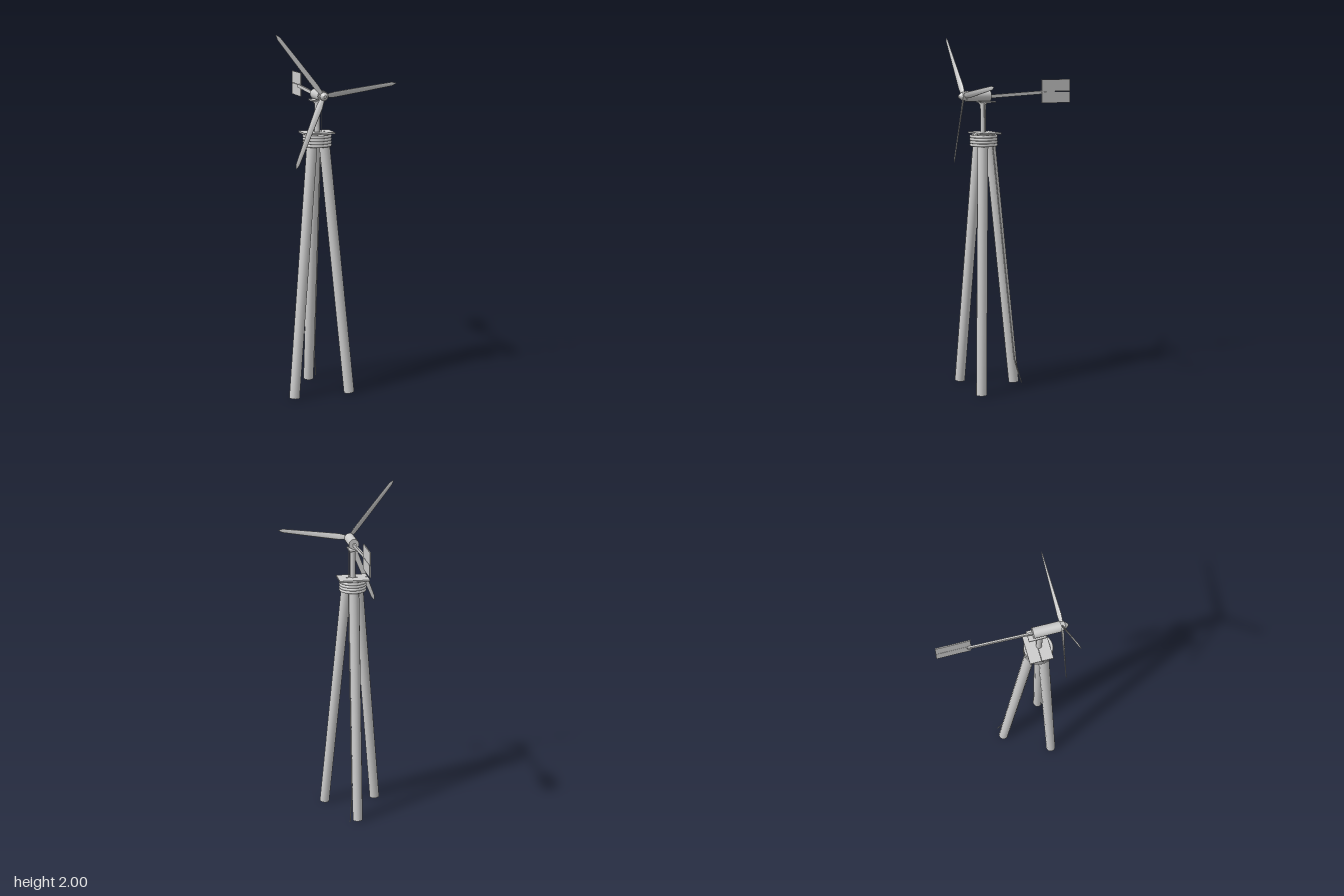
import * as THREE from 'three';

const AX = -0.075;   // tower axis
const AZ = 0.195;
const HUB_Y = 1.676;
const HUB_Z = 0.314;

const grey = new THREE.MeshStandardMaterial({ color: 0xcccccc });
grey.name = 'light grey';

const V = (x, y, z) => new THREE.Vector3(x, y, z);

function add(parent, name, geometry, x = 0, y = 0, z = 0) {
  const mesh = new THREE.Mesh(geometry, grey);
  mesh.name = name;
  mesh.position.set(x, y, z);
  parent.add(mesh);
  return mesh;
}

// Cylinder between two points
function rod(parent, name, a, b, radius, sides = 12) {
  const dir = b.clone().sub(a);
  const mesh = add(parent, name, new THREE.CylinderGeometry(radius, radius, dir.length(), sides));
  mesh.position.copy(a).add(b).multiplyScalar(0.5);
  mesh.quaternion.setFromUnitVectors(V(0, 1, 0), dir.normalize());
  return mesh;
}

// Tapered, twisted blade growing along +y from the hub
function bladeGeometry(length) {
  const geo = new THREE.CylinderGeometry(1, 1, 1, 12, 16);
  const p = geo.attributes.position;
  for (let i = 0; i < p.count; i++) {
    const t = p.getY(i) + 0.5;
    const root = Math.min(1, 0.55 + t * 4);
    const tip = t > 0.94 ? Math.sqrt(Math.max(0.02, 1 - ((t - 0.94) / 0.06) ** 2)) : 1;
    const chord = (0.02 - 0.010 * t) * root * tip;
    const thick = (0.0055 - 0.0035 * t) * tip;
    const pitch = 0.5 * (1 - t) + 0.1;
    const u = p.getX(i) * chord, w = p.getZ(i) * thick;
    p.setXYZ(i,
      u * Math.cos(pitch) + w * Math.sin(pitch),
      0.01 + t * (length - 0.01),
      -u * Math.sin(pitch) + w * Math.cos(pitch));
  }
  geo.computeVertexNormals();
  return geo;
}

export function createModel() {
  const model = new THREE.Group();
  model.name = 'windTurbine';

  // Tripod of leaning poles
  const legs = new THREE.Group();
  legs.name = 'legs';
  model.add(legs);
  for (const deg of [30, 150, 270]) {
    const c = Math.cos(deg * Math.PI / 180), s = Math.sin(deg * Math.PI / 180);
    rod(legs, 'leg',
      V(AX + c * 0.184, 0.003, AZ + s * 0.184),
      V(AX + c * 0.034, 1.465, AZ + s * 0.034), 0.03);
  }

  // Rope lashing around the top of the legs
  const lashing = new THREE.Group();
  lashing.name = 'lashing';
  model.add(lashing);
  for (let i = 0; i < 4; i++) {
    const ring = add(lashing, 'ropeRing', new THREE.TorusGeometry(0.071, 0.0085, 8, 32), AX, 1.404 + i * 0.016, AZ);
    ring.rotation.x = Math.PI / 2;
  }

  // Two boards forming the platform
  for (const z of [0.157, 0.222]) {
    add(model, 'platformBoard', new THREE.BoxGeometry(0.173, 0.009, 0.063), AX, 1.47, z);
  }

  // Mast with flanges and a bearing plate
  rod(model, 'mast', V(AX, 1.465, 0.198), V(AX, 1.64, 0.198), 0.0155, 16);
  rod(model, 'mastCollar', V(AX, 1.628, 0.198), V(AX, 1.64, 0.198), 0.021, 16);
  add(model, 'bearingPlate', new THREE.BoxGeometry(0.06, 0.008, 0.095), AX, 1.643, 0.178);

  // Cable down the mast and along the rear leg
  rod(model, 'mastCable', V(-0.053, 1.47, 0.198), V(-0.053, 1.65, 0.198), 0.0025, 6);
  const cable = new THREE.CurvePath();
  const stops = [V(-0.042, 1.46, 0.16), V(-0.041, 0.15, 0.022), V(-0.023, 0.005, -0.016)];
  cable.add(new THREE.LineCurve3(stops[0], stops[1]));
  cable.add(new THREE.LineCurve3(stops[1], stops[2]));
  add(model, 'groundCable', new THREE.TubeGeometry(cable, 40, 0.003, 6));

  // Generator housing
  rod(model, 'generator', V(AX, HUB_Y, 0.157), V(AX, HUB_Y, 0.304), 0.029, 24);

  // Rotor: hub, nose cone and three blades
  const rotor = new THREE.Group();
  rotor.name = 'rotor';
  rotor.position.set(AX, HUB_Y, HUB_Z);
  model.add(rotor);
  rod(rotor, 'hub', V(0, 0, -0.012), V(0, 0, 0.012), 0.023, 16);
  const nose = add(rotor, 'noseCone', new THREE.CylinderGeometry(0.007, 0.023, 0.02, 16), 0, 0, 0.021);
  nose.rotation.x = Math.PI / 2;
  const blade = bladeGeometry(0.412);
  for (let i = 0; i < 3; i++) {
    const mesh = add(rotor, 'blade', blade);
    mesh.rotation.z = (8.4 + i * 120 - 90) * Math.PI / 180;
  }

  // Tail boom, rising slightly to the rear
  const boom = add(model, 'tailBoom', new THREE.BoxGeometry(0.01, 0.019, 0.346), AX, 1.682, -0.013);
  boom.rotation.x = Math.atan2(0.019, 0.346);

  // Tail vane of two boards beside the boom
  add(model, 'upperVane', new THREE.BoxGeometry(0.006, 0.068, 0.182), -0.066, 1.73, -0.256);
  add(model, 'lowerVane', new THREE.BoxGeometry(0.006, 0.064, 0.182), -0.066, 1.662, -0.256);

  return model;
}
